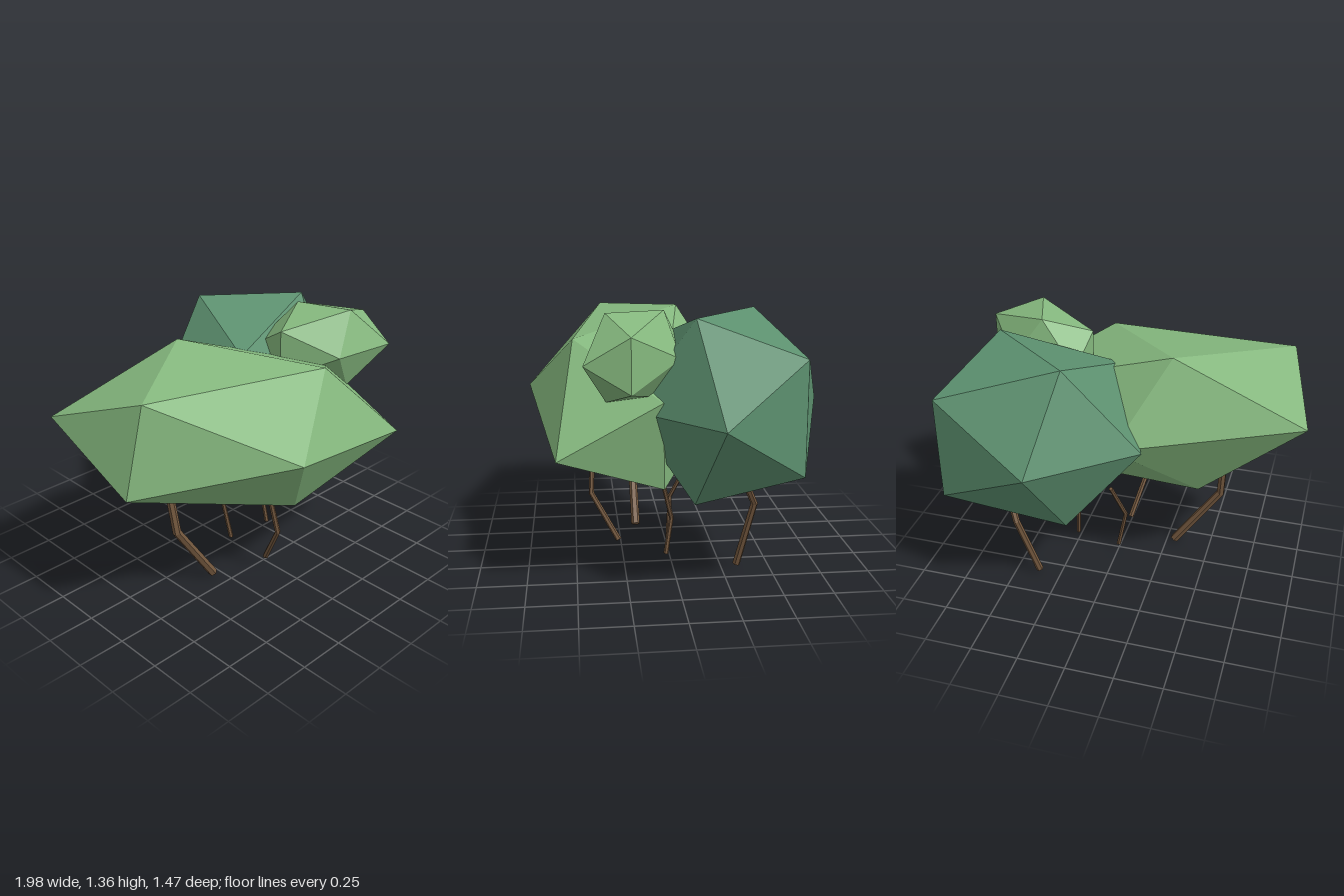
import * as THREE from 'three';

const LEAF_LIGHT = 0x85b87e;
const LEAF_DARK = 0x5c906f;
const BARK = 0x75593f;
const GOLDEN = (1 + Math.sqrt(5)) / 2;

function makeMesh(name, geometry, color) {
  const material = new THREE.MeshStandardMaterial({ color, flatShading: true });
  const mesh = new THREE.Mesh(geometry, material);
  mesh.name = name;
  return mesh;
}

// Leafy crown: an icosahedron stretched and turned along three axes
function makeCrown({ name, color, center, axes }) {
  const geometry = new THREE.IcosahedronGeometry(Math.hypot(1, GOLDEN), 0);
  const basis = new THREE.Matrix4().makeBasis(...axes.map((a) => new THREE.Vector3(...a)));
  basis.setPosition(...center);
  geometry.applyMatrix4(basis);
  geometry.computeVertexNormals();
  return makeMesh(name, geometry, color);
}

// Bent trunk: a cylinder whose three rings follow foot, bend and top
function makeTrunk({ name, radius, path }) {
  const points = path.map((p) => new THREE.Vector3(...p));
  const up = new THREE.Vector3(0, 1, 0);
  const turns = points.map((_, i) => {
    const tangent = points[Math.min(i + 1, 2)].clone().sub(points[Math.max(i - 1, 0)]);
    return new THREE.Quaternion().setFromUnitVectors(up, tangent.normalize());
  });
  const geometry = new THREE.CylinderGeometry(radius * 0.85, radius, 2, 6, 2);
  const position = geometry.attributes.position;
  const v = new THREE.Vector3();
  for (let i = 0; i < position.count; i++) {
    v.fromBufferAttribute(position, i);
    const ring = Math.round(v.y + 1);
    v.setY(0).applyQuaternion(turns[ring]).add(points[ring]);
    position.setXYZ(i, v.x, v.y, v.z);
  }
  geometry.computeVertexNormals();
  return makeMesh(name, geometry, BARK);
}

const CROWNS = [
  {
    name: 'wideCrown', color: LEAF_LIGHT, center: [-0.152, 0.877, 0.192],
    axes: [[0.205, 0.155, -0.12], [0.066, 0.095, 0.261], [0.479, -0.175, 0.083]],
  },
  {
    name: 'darkCrown', color: LEAF_DARK, center: [0.39, 0.887, -0.255],
    axes: [[0.2225, 0, 0.178], [0, 0.28, 0], [-0.24, 0, 0.1975]],
  },
  {
    name: 'smallCrown', color: LEAF_LIGHT, center: [0.48, 1.147, 0.2],
    axes: [[0.047, 0, 0.143], [0, 0.1315, 0], [-0.18, 0, -0.0225]],
  },
];

// Paths run foot, bend, top
const TRUNKS = [
  { name: 'leftTrunk', radius: 0.025, path: [[-0.295, 0.015, 0.15], [-0.545, 0.385, 0.155], [-0.56, 0.66, 0.11]] },
  { name: 'frontTrunk', radius: 0.016, path: [[0, 0.035, 0.265], [-0.065, 0.29, 0.41], [-0.115, 0.5, 0.4]] },
  { name: 'middleTrunk', radius: 0.013, path: [[0, 0.035, -0.01], [-0.045, 0.265, -0.025], [0.01, 0.5, -0.135]] },
  { name: 'thinTrunk', radius: 0.013, path: [[0.255, 0.045, 0.028], [0.24, 0.24, -0.003], [0.315, 0.5, 0.06]] },
  { name: 'backTrunk', radius: 0.02, path: [[0.37, 0.02, -0.33], [0.46, 0.38, -0.4], [0.51, 0.49, -0.35]] },
];

export function createModel() {
  const model = new THREE.Group();
  model.name = 'treeClump';
  CROWNS.forEach((crown) => model.add(makeCrown(crown)));
  TRUNKS.forEach((trunk) => model.add(makeTrunk(trunk)));
  return model;
}
